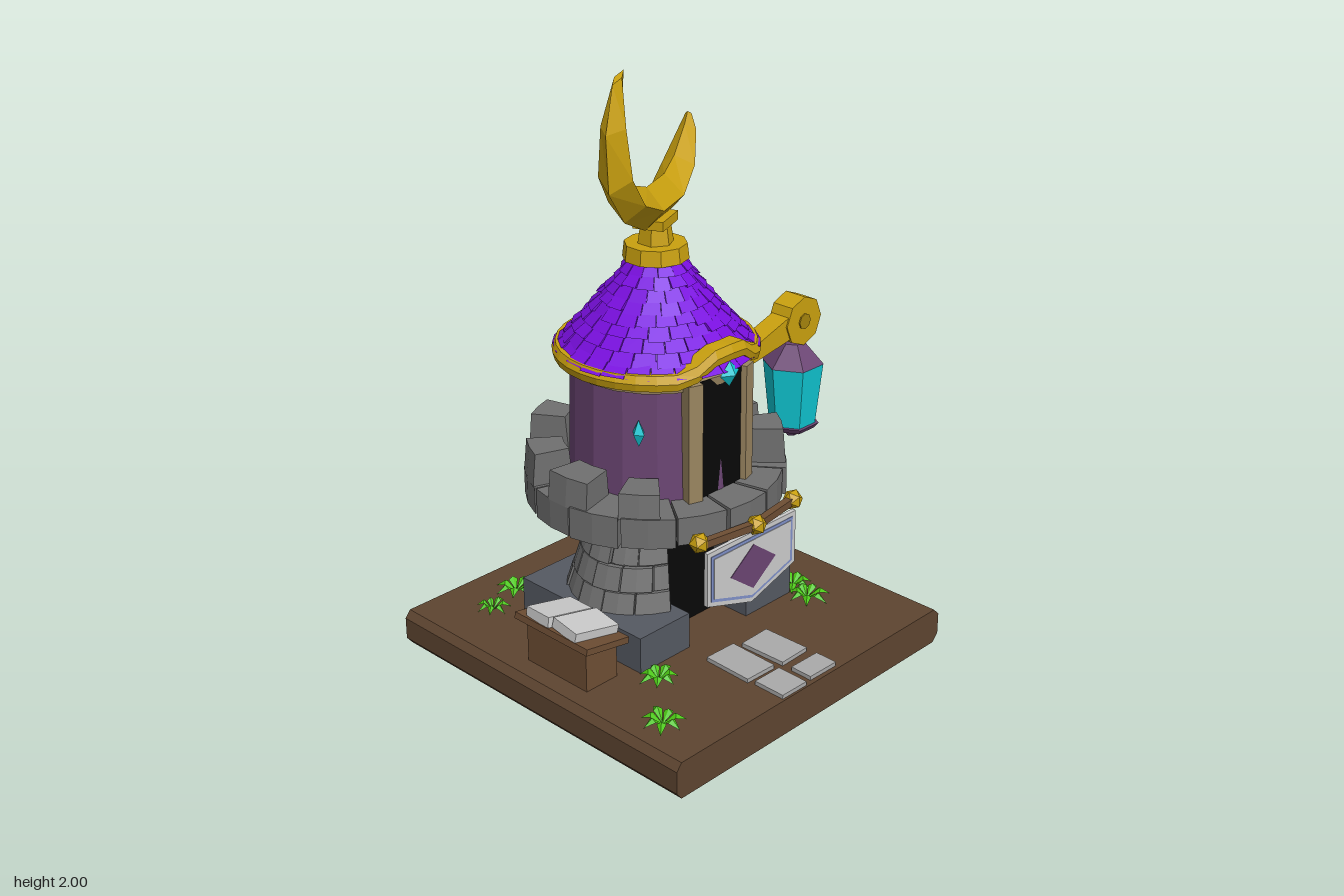
import * as THREE from 'three';
import { mergeGeometries } from 'three/addons/utils/BufferGeometryUtils.js';

const CX = -0.07, CZ = -0.07; // tower axis
const GOLD = 0xc9a00f, STONE = 0x707070, PLINTH = 0x555962, BROWN = 0x5e4530, WOOD = 0x6e4e34;
const ROOF = 0x7a0fe0, WALL = 0x6b4573, TEAL = 0x10c8d4, TAN = 0x9a8560, GREEN = 0x4cc814, BLACK = 0x080808, PAPER = 0xcccccc;

let seed = 7;
const jitter = (s) => ((seed = (seed * 16807) % 2147483647) / 2147483647 - 0.5) * 2 * s;

const mats = {};
const mat = (color) => (mats[color] ??= new THREE.MeshStandardMaterial({ color, flatShading: true, side: THREE.DoubleSide }));

function add(parent, name, geo, color, x = 0, y = 0, z = 0) {
  const m = new THREE.Mesh(geo, mat(color));
  m.name = name;
  m.position.set(x, y, z);
  parent.add(m);
  return m;
}
const box = (w, h, d) => new THREE.BoxGeometry(w, h, d);
const cyl = (rt, rb, h, n) => new THREE.CylinderGeometry(rt, rb, h, n);

// A box bent around the y axis; angle 0 faces the front. Radii: inner/outer at bottom and top.
function arcBlock(a0, a1, y0, y1, inB, outB, inT = inB, outT = outB, segs = 2) {
  const g = new THREE.BoxGeometry(1, 1, 1, segs, 1, 1), p = g.attributes.position;
  for (let i = 0; i < p.count; i++) {
    const a = a0 + (a1 - a0) * (p.getX(i) + 0.5), t = p.getY(i) + 0.5, w = p.getZ(i) + 0.5;
    const r = (inB + (outB - inB) * w) * (1 - t) + (inT + (outT - inT) * w) * t;
    p.setXYZ(i, r * Math.sin(a), y0 + (y1 - y0) * t, r * Math.cos(a));
  }
  return g;
}

const polygon = (pts) => new THREE.Shape(pts.map(([x, y]) => new THREE.Vector2(x, y)));
function slab(pts, depth) {
  const g = new THREE.ExtrudeGeometry(polygon(pts), { depth, bevelEnabled: false });
  return g.translate(0, 0, -depth / 2);
}

// Diamond-section crescent: outer x,y, inner x,y, half thickness per station
function crescentGeometry() {
  const rows = [
    [-0.37, 1.975, -0.29, 2.0, 0.012], [-0.42, 1.84, -0.315, 1.86, 0.04], [-0.405, 1.66, -0.31, 1.73, 0.055],
    [-0.3, 1.54, -0.26, 1.645, 0.06], [-0.15, 1.465, -0.135, 1.6, 0.06], [0.03, 1.465, 0, 1.6, 0.06],
    [0.15, 1.56, 0.08, 1.635, 0.055], [0.21, 1.67, 0.165, 1.71, 0.03], [0.205, 1.73, 0.19, 1.745, 0.01]];
  const pos = [], idx = [];
  rows.forEach(([ox, oy, ix, iy, t], i) => {
    const o = (ox - CX) / 0.917, n = (ix - CX) / 0.917, mx = (o + n) / 2, my = (oy + iy) / 2;
    pos.push(o, oy, 0, mx, my, t, n, iy, 0, mx, my, -t);
    if (!i) return;
    for (let k = 0; k < 4; k++) {
      const a = i * 4 - 4 + k, b = i * 4 - 4 + ((k + 1) % 4);
      idx.push(a, b + 4, b, a, a + 4, b + 4);
    }
  });
  const e = rows.length * 4 - 4;
  idx.push(0, 1, 2, 0, 2, 3, e, e + 2, e + 1, e, e + 3, e + 2);
  const g = new THREE.BufferGeometry();
  g.setAttribute('position', new THREE.Float32BufferAttribute(pos, 3));
  g.setIndex(idx);
  g.computeVertexNormals();
  return g;
}

// Tuft of arched, folded leaves
function plantGeometry(size, turn) {
  const leaves = [];
  for (let i = 0; i < 7; i++) {
    const l = size * (1 + jitter(0.2)), w = size * 0.2;
    const g = new THREE.BufferGeometry();
    g.setAttribute('position', new THREE.Float32BufferAttribute(
      [0, 0, 0, -w, 0.025, l * 0.5, 0, 0.035, l * 0.55, w, 0.025, l * 0.5, 0, 0.01, l], 3));
    g.setIndex([0, 2, 1, 0, 3, 2, 1, 2, 4, 2, 3, 4]);
    g.computeVertexNormals();
    leaves.push(g.rotateY(turn + (i * Math.PI * 2) / 7));
  }
  return mergeGeometries(leaves);
}

export function createModel() {
  const root = new THREE.Group();
  const tower = new THREE.Group();
  tower.name = 'tower';
  tower.position.set(CX, 0, CZ);
  root.add(tower);

  // Ground
  add(root, 'ground', slab([[-0.68, 0], [0.53, 0], [0.555, 0.025], [0.555, 0.1], [0.53, 0.125], [-0.68, 0.125], [-0.7, 0.1], [-0.7, 0.025]], 1.26), BROWN);
  for (const [x, z, w, d] of [[-0.17, 0.395, 0.12, 0.18], [-0.025, 0.41, 0.12, 0.17], [-0.17, 0.565, 0.11, 0.115], [-0.025, 0.575, 0.12, 0.08]])
    add(root, 'pavingStone', box(w, 0.018, d), 0xaaaaaa, x, 0.13, z).rotation.y = jitter(0.03);

  // Square plinth, open at the doorway
  add(tower, 'plinthBack', box(0.7, 0.125, 0.34), PLINTH, 0, 0.1875, -0.11);
  for (const s of [-1, 1]) {
    add(tower, 'plinthFront', box(0.22, 0.125, 0.22), PLINTH, s * 0.245, 0.1875, 0.165);
  }

  // Tapered lower storey of bricks with a doorway gap
  const bricks = [], gap = 0.52;
  for (let row = 0; row < 4; row++) {
    const y0 = 0.24 + row * 0.079, y1 = y0 + 0.074, r = (y) => 0.335 - (y - 0.24) * 0.36;
    const n = 13, span = (Math.PI * 2 - gap * 2) / n, off = row % 2 ? span / 2 : 0;
    for (let i = 0; i < n + (off ? 1 : 0); i++) {
      const a0 = Math.max(gap, gap + i * span - off), a1 = Math.min(Math.PI * 2 - gap, gap + (i + 1) * span - off);
      const d = jitter(0.007);
      bricks.push(arcBlock(a0 + 0.01, a1 - 0.01, y0, y1, 0.17, r(y0) + d, 0.17, r(y1) + d));
    }
  }
  add(tower, 'brickWall', mergeGeometries(bricks), STONE).scale.z = 0.78;
  const core = arcBlock(gap, Math.PI * 2 - gap, 0.24, 0.56, 0.16, 0.322, 0.16, 0.212, 24);
  add(tower, 'wallMortar', core, 0x404040).scale.z = 0.78;
  add(tower, 'lowerDoorway', box(0.27, 0.43, 0.3), BLACK, 0, 0.34, 0);

  // Platform ring and merlons
  const ring = [];
  const N = 15;
  for (let i = 0; i < N; i++) {
    const a = (i * Math.PI * 2) / N, h = Math.PI / N - 0.012;
    ring.push(arcBlock(a - h, a + h, 0.55 + jitter(0.004), 0.648 + jitter(0.006), 0.22, 0.422 + jitter(0.01)));
  }
  add(tower, 'platformStones', mergeGeometries(ring), STONE, 0, 0, -0.01);
  add(tower, 'platformFloor', cyl(0.39, 0.39, 0.06, 24), 0x404040, 0, 0.6, -0.01);
  const merlons = [];
  for (const a of [0.88, 1.5, 2.12, 2.78]) for (const s of [-1, 1]) {
    const c = s * a + jitter(0.05), w = 0.18 + jitter(0.03), top = 0.755 + jitter(0.025);
    merlons.push(arcBlock(c - w, c + w, 0.645, top, 0.29, 0.425, 0.3, 0.415));
  }
  add(tower, 'merlons', mergeGeometries(merlons), STONE, 0, 0, -0.01);

  // Upper storey with door
  add(tower, 'upperWall', cyl(0.275, 0.285, 0.42, 16), WALL, 0, 0.84, 0);
  add(tower, 'wallTrim', cyl(0.29, 0.285, 0.03, 20), TAN, 0, 1.025, 0);
  add(tower, 'upperDoor', box(0.18, 0.4, 0.04), BLACK, 0, 0.84, 0.262);
  for (const s of [-1, 1]) add(tower, 'doorPost', box(0.05, 0.4, 0.06), TAN, s * 0.113, 0.84, 0.262).rotation.y = s * 0.3;

  // Gold eave band, arched over the door
  const band = new THREE.LatheGeometry([[0.27, 1.035], [0.325, 1.035], [0.332, 1.06], [0.32, 1.085], [0.27, 1.085], [0.27, 1.035]]
    .map(([x, y]) => new THREE.Vector2(x, y)), 32);
  const bp = band.attributes.position;
  for (let i = 0; i < bp.count; i++) if (bp.getZ(i) > 0)
    bp.setY(i, bp.getY(i) + 0.065 * (1 - THREE.MathUtils.smoothstep(Math.abs(bp.getX(i)), 0.04, 0.17)));
  add(tower, 'eaveBand', band, GOLD);

  // Shingled roof
  const roofR = (y) => 0.315 - 0.245 * Math.pow((y - 1.07) / 0.29, 0.88);
  const shingles = [];
  for (let row = 0; row < 9; row++) {
    const y0 = 1.07 + row * 0.0315, y1 = y0 + 0.042, n = Math.round(26 - row * 1.6);
    for (let i = 0; i < n; i++) {
      const a = ((i + (row % 2) / 2) * Math.PI * 2) / n, h = Math.PI / n - 0.006, d = jitter(0.005);
      const rb = roofR(y0) + 0.014 + d, rt = Math.max(0.06, roofR(Math.min(y1, 1.36)) + 0.002);
      shingles.push(arcBlock(a - h, a + h, y0 + jitter(0.006), y1, rb - 0.03, rb, rt - 0.03, rt, 1));
    }
  }
  add(tower, 'shingles', mergeGeometries(shingles), ROOF);
  add(tower, 'roofCore', cyl(0.065, 0.3, 0.29, 20), 0x45088a, 0, 1.215, 0);

  // Finial and crescent
  add(tower, 'finialCap', cyl(0.1, 0.106, 0.05, 10), GOLD, 0, 1.378, 0);
  add(tower, 'finialNeck', cyl(0.045, 0.06, 0.1, 6), GOLD, 0, 1.44, 0);
  add(tower, 'finialCollar', box(0.13, 0.03, 0.1), GOLD, 0, 1.475, 0).rotation.y = 0.41;
  add(tower, 'crescent', crescentGeometry(), GOLD).rotation.y = 0.41;

  // Gems
  for (const [x, y, z, w, h] of [[-0.075, 1.055, 0.25, 0.042, 0.042], [-0.31, 0.88, 0.09, 0.022, 0.045],
    [0.155, 0.88, 0.1, 0.022, 0.045], [0.295, 0.835, -0.06, 0.022, 0.035]])
    add(root, 'gem', new THREE.OctahedronGeometry(1), TEAL, x, y, z).scale.set(w, h, 0.025);

  // Lantern arm
  add(root, 'armBracket', box(0.1, 0.065, 0.07), GOLD, 0.225, 0.91, -0.06);
  add(root, 'arm', slab([[0.26, 0.87], [0.36, 0.885], [0.56, 0.92], [0.56, 1.01], [0.36, 0.945], [0.26, 0.945]], 0.075), GOLD);
  root.children.at(-1).position.z = -0.06;
  const hub = add(root, 'armHub', cyl(0.088, 0.088, 0.085, 8), GOLD, 0.59, 0.965, -0.06);
  hub.rotation.x = Math.PI / 2;
  const pin = add(root, 'hubPin', cyl(0.028, 0.028, 0.095, 8), 0xa5830c, 0.59, 0.965, -0.06);
  pin.rotation.x = Math.PI / 2;

  // Lantern
  const lantern = new THREE.Group();
  lantern.name = 'lantern';
  lantern.position.set(0.592, 0, -0.065);
  lantern.rotation.y = Math.PI / 2;
  root.add(lantern);
  add(lantern, 'lanternCap', cyl(0.04, 0.108, 0.075, 6), WALL, 0, 0.84, 0);
  add(lantern, 'lanternGlass', cyl(0.106, 0.082, 0.225, 6), TEAL, 0, 0.69, 0);
  add(lantern, 'lanternFoot', cyl(0.096, 0.08, 0.02, 6), WALL, 0, 0.57, 0);
  add(lantern, 'lanternTip', cyl(0.05, 0.02, 0.035, 6), WALL, 0, 0.545, 0);

  // Banner on a bent pole
  for (const s of [-1, 1]) {
    const pole = add(root, 'bannerPole', box(0.22, 0.025, 0.025), WOOD, -0.07 + s * 0.105, 0.575, 0.348);
    pole.rotation.y = s * 0.15;
  }
  for (const [x, z] of [[-0.28, 0.32], [-0.07, 0.365], [0.14, 0.332]])
    add(root, 'poleKnob', new THREE.IcosahedronGeometry(0.034, 0), GOLD, x, 0.575, z);
  const pennant = (k) => [[-0.205 + k, 0.55 - k], [-0.205 + k, 0.365 + k * 0.7], [0, 0.3 + k], [0.205 - k, 0.365 + k * 0.7], [0.205 - k, 0.55 - k]];
  const layers = [['bannerCloth', pennant(0), PAPER], ['bannerBorder', pennant(0.016), 0x8090c8], ['bannerField', pennant(0.027), PAPER],
    ['bannerDiamond', [[-0.105, 0.43], [0, 0.352], [0.105, 0.43], [0, 0.508]], WALL]];
  layers.forEach(([name, pts, color], i) => add(root, name, slab(pts, 0.014 + i * 0.004), color, -0.078, 0, 0.35));

  // Lectern with open book
  const desk = new THREE.Group();
  desk.name = 'lectern';
  desk.position.set(-0.55, 0, 0.025);
  root.add(desk);
  add(desk, 'lecternBody', box(0.13, 0.15, 0.27), WOOD, 0, 0.19, 0);
  add(desk, 'lecternTop', box(0.18, 0.022, 0.33), WOOD, 0, 0.272, 0).rotation.z = -0.17;
  for (const s of [-1, 1]) {
    const page = add(desk, 'bookPages', box(0.17, 0.035, 0.115), PAPER, 0.005, 0.3, s * 0.06);
    page.rotation.set(s * 0.08, -0.1, -0.17);
  }

  // Stack of books
  [[ROOF, 0.3], [ROOF, -0.25], [GOLD, 0.45], [0xc81e1e, 0.05]].forEach(([color, turn], i) => {
    const book = new THREE.Group(), w = 0.135 - i * 0.015;
    book.name = 'book';
    book.position.set(0.365, 0.145 + i * 0.04, -0.26);
    book.rotation.y = turn;
    add(book, 'pages', box(w - 0.01, 0.026, w - 0.01), PAPER);
    for (const s of [-1, 1]) add(book, 'cover', box(w, 0.007, w), color, 0, s * 0.0165, 0);
    add(book, 'spine', box(0.008, 0.04, w), color, -w / 2, 0, 0);
    root.add(book);
  });

  // Plants
  [[-0.49, -0.43, 0.055], [-0.35, -0.47, 0.075], [0.27, -0.42, 0.075], [0.33, 0.18, 0.075], [0.3, 0.27, 0.075],
    [-0.41, 0.27, 0.075], [-0.575, 0.45, 0.075], [0.36, -0.1, 0.05]].forEach(([x, z, s], i) =>
    add(root, 'plant', plantGeometry(s, i * 0.9), GREEN, x, 0.124, z));

  return root;
}
